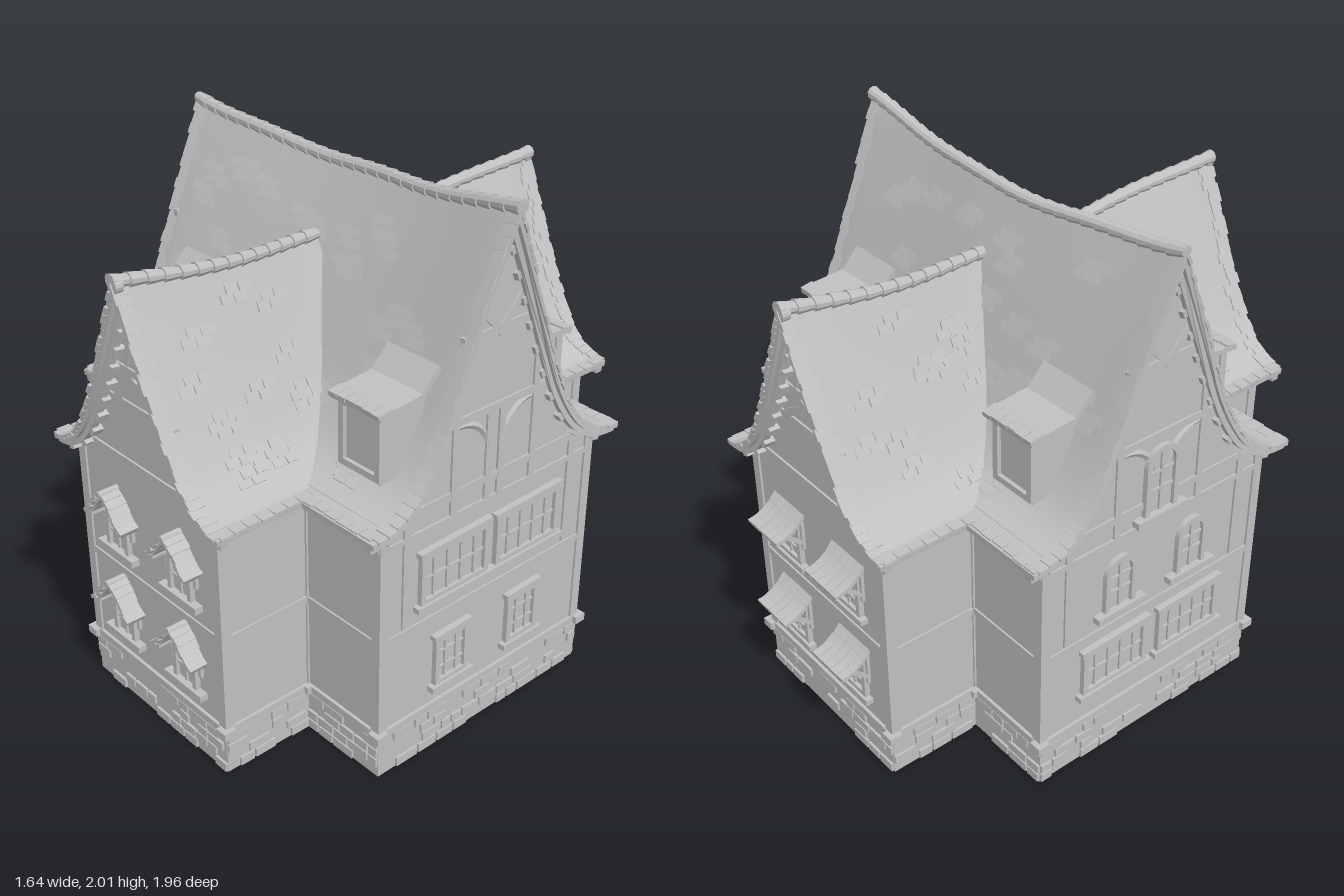
import * as THREE from 'three';
import { mergeGeometries, toCreasedNormals } from 'three/addons/utils/BufferGeometryUtils.js';

const grey = new THREE.MeshStandardMaterial({ color: 0xc0c0c0, side: THREE.DoubleSide });
grey.name = 'stone grey';

let seed = 7;
const rnd = () => (seed = (seed * 16807) % 2147483647) / 2147483647;
const vary = (a, b) => a + (b - a) * rnd();

// Box of given size and centre, optionally turned
function box(w, h, d, x, y, z, rz = 0, rx = 0) {
  return new THREE.BoxGeometry(w, h, d).rotateZ(rz).rotateX(rx).translate(x, y, z);
}
// Nearly flush timber between two points on a wall
function timber(x0, y0, x1, y1, w = 0.028) {
  return box(Math.hypot(x1 - x0, y1 - y0), w, 0.02, (x0 + x1) / 2, (y0 + y1) / 2, -0.002, Math.atan2(y1 - y0, x1 - x0));
}
// Merge pieces into one named mesh
function part(parent, name, geos, z = 0, warp = null) {
  let g = mergeGeometries(geos.map(a => (a.index ? a.toNonIndexed() : a)));
  if (warp) {
    const p = g.attributes.position, v = new THREE.Vector3();
    for (let i = 0; i < p.count; i++) {
      warp(v.fromBufferAttribute(p, i));
      p.setXYZ(i, v.x, v.y, v.z);
    }
  }
  g = toCreasedNormals(g, 0.5);
  const m = new THREE.Mesh(g, grey);
  m.name = name;
  m.position.z = z;
  parent.add(m);
}

// Half profile moved outward by t; the apex stays on the centre line
function offset(pts, t) {
  return pts.map((p, i) => {
    const a = pts[Math.max(i - 1, 0)], b = pts[Math.min(i + 1, pts.length - 1)];
    const dx = b.x - a.x, dy = b.y - a.y, l = Math.hypot(dx, dy);
    return i === 0 ? new THREE.Vector2(0, p.y + t * l / dx) : new THREE.Vector2(p.x - dy / l * t, p.y + dx / l * t);
  });
}
const flip = pts => pts.map(p => new THREE.Vector2(-p.x, p.y));
// Mirrored strip between two offsets of a half profile, extruded along z
function strip(pts, t0, t1, z0, z1, steps = 1) {
  const a = offset(pts, t0), b = offset(pts, t1);
  const s = new THREE.Shape([...a.slice().reverse(), ...flip(a).slice(1), ...flip(b).reverse(), ...b.slice(1)]);
  return new THREE.ExtrudeGeometry(s, { depth: z1 - z0, steps, bevelEnabled: false }).translate(0, 0, z0);
}
const spline = pts => new THREE.SplineCurve(pts.map(p => new THREE.Vector2(...p)));

// Roof with tiles, ridge caps, barge boards and gable walls; ridge runs along z
function roof(parent, name, prof, z0, z1, wallHalf, wallZ, warp) {
  const curve = spline(prof), pts = curve.getPoints(24), both = z0 < -0.5;
  part(parent, name + 'Shell', [strip(pts, 0, -0.022, z0, z1, 16)], 0, warp);

  // Each tile tips up a little at its lower edge
  const tiles = [];
  const tile = (side, u, z, w, len = 0.04, lift = -0.002) => {
    const p = curve.getPointAt(u), t = curve.getTangentAt(u);
    tiles.push(box(len, 0.012, w, side * (p.x - t.y * lift), p.y + t.x * lift, z, side * (Math.atan2(t.y, t.x) + 0.08)));
  };
  for (const side of [-1, 1]) {
    for (const e of both ? [-1, 1] : [1]) // ragged verge
      for (let u = 0.03; u < 0.98; u += 0.036) {
        const w = vary(0.04, 0.07);
        tile(side, u, e * (z1 - w / 2 + vary(0, 0.012)), w);
      }
    for (let z = z0 + 0.03; z < z1; z += 0.055) tile(side, 0.975, z, 0.05, vary(0.04, 0.055));
    for (let c = 0; c < (both ? 34 : 14); c++) { // scattered loose tiles
      const u = vary(0.1, 0.85), z = vary(z0 + 0.12, z1 - 0.2);
      for (let k = 0; k < 4; k++)
        tile(side, u + (k % 2) * 0.035, z + (k >> 1) * 0.055 + (k % 2) * 0.027, 0.05, 0.034, -rnd() * 0.004);
    }
  }
  part(parent, name + 'Tiles', tiles, 0, warp);

  const caps = [], top = prof[0][1];
  for (let z = z0; z < z1 - 0.02; z += 0.06)
    caps.push(new THREE.CylinderGeometry(0.02, 0.027, 0.066, 10).rotateX(-Math.PI / 2).translate(0, top, z + 0.032));
  part(parent, name + 'RidgeCaps', caps, 0, warp);

  const gable = [], inner = offset(pts, -0.03).filter(p => p.x < wallHalf);
  const barge = [];
  const outline = new THREE.Shape([new THREE.Vector2(wallHalf, 1), ...inner.slice().reverse(), ...flip(inner).slice(1), new THREE.Vector2(-wallHalf, 1)]);
  for (const e of both ? [-1, 1] : [1]) {
    gable.push(new THREE.ExtrudeGeometry(outline, { depth: 0.03, bevelEnabled: false }).translate(0, 0, e > 0 ? wallZ - 0.03 : -wallZ));
    const zb = e * (z1 - 0.03);
    barge.push(strip(pts, -0.018, -0.042, zb - 0.015, zb + 0.015));
    for (const side of [-1, 1])
      for (let u = 0.12; u < 0.95; u += 0.09) { // purlin ends under the verge
        const p = curve.getPointAt(u), t = curve.getTangentAt(u);
        barge.push(box(0.03, 0.022, z1 - wallZ - 0.02, side * (p.x + t.y * 0.046), p.y - t.x * 0.046, e * (wallZ + z1 - 0.02) / 2, side * Math.atan2(t.y, t.x)));
      }
  }
  part(parent, name + 'GableWall', gable, 0, warp);
  part(parent, name + 'BargeBoards', barge, 0, warp);
}

// Corners of the cross-shaped plan, grown outward by o, as (x, -z)
function plan(o) {
  const a = 0.755 + o, b = 0.51 + o, c = 0.39 + o, d = 0.88 + o;
  return [[c, -d], [c, -b], [a, -b], [a, b], [c, b], [c, d], [-c, d], [-c, b], [-a, b], [-a, -b], [-c, -b], [-c, -d]].map(p => new THREE.Vector2(...p));
}
// Hollow band following the plan
function band(o, y0, y1) {
  const s = new THREE.Shape(plan(o));
  s.holes.push(new THREE.Path(plan(-0.03)));
  return new THREE.ExtrudeGeometry(s, { depth: y1 - y0, bevelEnabled: false }).rotateX(-Math.PI / 2).translate(0, y0, 0);
}

// Framed window with bars, sill and lintel, reaching through the wall
function casement(x, y, w, h, cols, rows, lintel = true) {
  const g = [box(w, h, 0.006, x, y, 0.003)];
  for (const s of [-1, 1]) g.push(box(0.02, h, 0.056, x + s * (w / 2 - 0.01), y, -0.008), box(w, 0.02, 0.056, x, y + s * (h / 2 - 0.01), -0.008));
  for (let i = 1; i < cols; i++) g.push(box(0.01, h, 0.049, x - w / 2 + w * i / cols, y, -0.0105));
  for (let i = 1; i < rows; i++) g.push(box(w, 0.008, 0.047, x, y - h / 2 + h * i / rows, -0.0105));
  g.push(box(w + 0.04, 0.022, 0.04, x, y - h / 2 - 0.008, 0.01));
  if (lintel) g.push(box(w + 0.02, 0.02, 0.03, x, y + h / 2 + 0.006, 0.01, 0.02));
  return g;
}
function archPath(Type, w, h) {
  const p = new Type();
  p.moveTo(-w / 2, 0).lineTo(w / 2, 0).lineTo(w / 2, h - w / 2).absarc(0, h - w / 2, w / 2, 0, Math.PI).lineTo(-w / 2, 0);
  return p;
}
// Round-headed window standing on its sill at y
function archWindow(x, y, w, h) {
  const s = archPath(THREE.Shape, w, h);
  const pane = new THREE.ExtrudeGeometry(s.clone(), { depth: 0.006, bevelEnabled: false, curveSegments: 8 });
  s.holes.push(archPath(THREE.Path, w - 0.04, h - 0.02));
  const frame = new THREE.ExtrudeGeometry(s, { depth: 0.056, bevelEnabled: false, curveSegments: 8 });
  return [pane.translate(x, y, 0), frame.translate(x, y, -0.036), box(0.012, h - 0.01, 0.049, x, y + h / 2, -0.0105),
    box(w - 0.02, 0.01, 0.047, x, y + h * 0.35, -0.0105), box(w - 0.02, 0.01, 0.047, x, y + h * 0.62, -0.0105),
    box(w + 0.08, 0.025, 0.045, x, y - 0.01, 0.01)];
}
// Small peaked tiled hood with its apex at y
function hood(x, y) {
  const c = spline([[0, 0], [0.045, -0.04], [0.08, -0.09], [0.112, -0.115]]);
  const g = [strip(c.getPoints(8), 0, -0.014, 0, 0.065).translate(x, y, 0)];
  for (const s of [-1, 1]) {
    for (let i = 0; i < 5; i++) {
      const p = c.getPointAt(0.1 + i * 0.2), t = c.getTangentAt(0.1 + i * 0.2);
      g.push(box(0.036, 0.014, vary(0.07, 0.082), x + s * p.x, y + p.y + 0.004, 0.038, s * (Math.atan2(t.y, t.x) + 0.1)));
    }
    g.push(box(0.014, 0.08, 0.02, x + s * 0.083, y - 0.14, 0.004), box(0.014, 0.014, 0.07, x + s * 0.083, y - 0.112, 0.03));
  }
  g.push(new THREE.CylinderGeometry(0.012, 0.012, 0.08, 8).rotateX(Math.PI / 2).translate(x, y + 0.004, 0.04));
  return g;
}
// Tiled awning on curved brackets
function awning(x, y) {
  const g = [];
  for (let r = 0; r < 4; r++)
    for (let i = 0; i < 5; i++)
      g.push(box(0.035, vary(0.01, 0.016), 0.038, x + (i - 2) * 0.038, y - [0, 0.027, 0.046, 0.055][r], 0.01 + r * 0.03, 0, [0.85, 0.65, 0.4, 0.15][r]));
  for (const s of [-1, 1]) g.push(box(0.014, 0.014, 0.1, x + s * 0.08, y - 0.078, 0.042, 0, -0.7), box(0.016, 0.13, 0.016, x + s * 0.08, y - 0.07, 0.004));
  return g;
}
const arc = (r, x, y, turn) => new THREE.TorusGeometry(r, 0.013, 4, 8, Math.PI / 2).rotateZ(turn).scale(1, 1, 0.7).translate(x, y, 0);

export function createModel() {
  const root = new THREE.Group();
  root.name = 'timberHouse';
  const house = new THREE.Group();
  house.name = 'house';
  house.position.z = 0.02;
  root.add(house);
  const facing = (name, turn) => {
    const g = new THREE.Group();
    g.name = name;
    g.rotation.y = turn;
    house.add(g);
    return g;
  };

  // Walls, stone base and horizontal beams
  part(house, 'walls', [band(0, 0.15, 1.03)]);
  part(house, 'stoneBase', [band(0.002, 0, 0.165)]);
  part(house, 'beams', [band(0.012, 0.165, 0.195), band(0.007, 0.545, 0.572), band(0.007, 1.0, 1.03)]);
  const stones = [], posts = [], corners = plan(0.004);
  corners.forEach((a, i) => {
    const b = corners[(i + 1) % 12], len = a.distanceTo(b), dx = (b.x - a.x) / len, dy = (b.y - a.y) / len;
    for (let row = 0; row < 4; row++)
      for (let s = 0; s < len - 0.04;) { // stones show on both faces of the base
        const w = Math.min(vary(0.05, 0.11), len - s), c = s + w / 2;
        if (rnd() < 0.6) stones.push(box(w - 0.008, 0.034, 0.048, 0, 0, -0.0165).rotateY(Math.atan2(dy, dx)).translate(a.x + dx * c, 0.021 + row * 0.041, -(a.y + dy * c)));
        s += w;
      }
    posts.push(box(0.04, 0.82, 0.04, a.x - Math.sign(a.x) * 0.016, 0.59, -a.y + Math.sign(a.y) * 0.016));
    posts.push(box(0.05, 0.03, 0.05, a.x, 0.18, -a.y));
  });
  part(house, 'baseStones', stones);
  part(house, 'cornerPosts', posts);

  // Main roof, ridge along x, sagging in the middle
  const main = facing('mainRoof', Math.PI / 2);
  roof(main, 'mainRoof', [[0, 1.972], [0.1, 1.735], [0.2, 1.48], [0.28, 1.28], [0.36, 1.14], [0.43, 1.07], [0.51, 1.03], [0.595, 1.02]], -0.81, 0.81, 0.51, 0.755, v => {
    const t = Math.max(0, (v.y - 1.02) / 0.955), s = v.z / 0.82;
    v.y += t * (0.07 * (s * s - 1 + 0.06 * Math.sin(s * 9)) + 0.006 * s);
    v.x += t * (0.025 + 0.02 * Math.cos(s * 3));
    if (Math.abs(v.z) > 0.765) v.z *= 1 - 0.025 * Math.sin(Math.PI * Math.min(t, 1));
  });

  for (const end of [1, -1]) {
    const front = end > 0;
    // Wing roof and gable timbers
    const wing = facing(front ? 'frontWing' : 'backWing', front ? 0 : Math.PI);
    roof(wing, 'wingRoof', [[0, 1.742], [0.09, 1.525], [0.18, 1.325], [0.26, 1.17], [0.32, 1.09], [0.37, 1.05], [0.42, 1.027], [0.47, 1.02]], 0.1, 0.94, 0.39, 0.88, v => {
      const t = Math.max(0, (v.y - 1.02) / 0.72), s = v.z / 0.94;
      v.y += t * 0.065 * (s * s - 1);
      v.x += t * 0.02 * Math.sin(s * 6 - 2);
    });
    const frame = [timber(-0.13, 1.4, 0.13, 1.4), timber(-0.2, 1.27, 0.2, 1.27), timber(-0.3, 1.04, 0.3, 1.04)];
    for (const s of [-1, 1]) frame.push(timber(s * 0.13, 1.28, s * -0.08, 1.4), timber(s * 0.06, 1.42, s * 0.02, 1.52));
    part(wing, 'gableTimbers', frame, 0.88);
    part(wing, 'finial', [new THREE.CylinderGeometry(0.026, 0.026, 0.03, 12).rotateX(Math.PI / 2).translate(-0.008, 1.728, 0.93), box(0.022, 0.08, 0.022, -0.008, 1.68, 0.92)]);

    // Wing windows: peaked hoods in front, awnings behind
    const win = [];
    for (const x of [-0.18, 0.185])
      for (const y of [0.26, 0.63]) {
        if (front) win.push(...archWindow(x, y + 0.02, 0.13, 0.18), ...hood(x, y + 0.265));
        else win.push(...casement(x, y + 0.1, 0.15, 0.17, 2, 3, false), ...awning(x, y + 0.225));
      }
    part(wing, 'wingWindows', win, 0.88);

    // Little windows beside the wing
    part(wing, 'sideWindows', [...casement(-0.645, 0.825, 0.12, 0.12, 2, 2, false), ...casement(-0.455, 0.46, 0.12, 0.12, 2, 2, false)], 0.51);

    // Dormers with a shallow lid that sweeps up into the main slope
    for (const cx of front ? [-0.515, 0.582] : [0.525, -0.55]) {
      const body = [box(0.18, 0.26, 0.26, cx, 1.24, 0.305)];
      for (const s of [-1, 1]) body.push(box(0.024, 0.24, 0.03, cx + s * 0.085, 1.245, 0.435), box(0.194, 0.024, 0.03, cx, 1.245 + s * 0.11, 0.435));
      part(wing, 'dormerBody', body);
      const lid = [box(0.24, 0.02, 0.19, cx, 1.381, 0.375, 0, 0.08), box(0.235, 0.02, 0.12, cx, 1.425, 0.248, 0, 0.85)];
      for (let i = 0; i < 6; i++) lid.push(box(vary(0.036, 0.04), 0.016, vary(0.045, 0.06), cx + (i - 2.5) * 0.04, 1.382, 0.445, 0, vary(0.1, 0.2)));
      part(wing, 'dormerRoof', lid);
    }

    // Tall gable ends
    const gable = facing(front ? 'rightGable' : 'leftGable', end * Math.PI / 2);
    const g = [timber(-0.27, 1.28, 0.27, 1.28), timber(-0.17, 1.56, 0.17, 1.56), timber(-0.5, 0.93, 0.5, 0.93, 0.02)];
    for (const s of [-1, 1]) {
      g.push(timber(s * 0.19, 0.92, s * 0.19, 1.46), timber(s * 0.1, 1.66, s * -0.01, 1.54), timber(s * 0.4, 0.58, s * 0.4, 1.0));
      g.push(arc(0.13, s * 0.38, 0.93, s > 0 ? 0 : Math.PI / 2), arc(0.14, s * 0.17, 1.12, s > 0 ? Math.PI / 2 : 0));
      if (front) g.push(timber(s * 0.03, 0.92, s * 0.03, 1.27));
    }
    part(gable, 'gableTimbers', g, 0.755);
    const sideWin = [];
    for (const s of [-1, 1]) {
      if (front) sideWin.push(...casement(s * 0.18, 0.745, 0.32, 0.2, 5, 2), ...casement(s * 0.18, 0.37, 0.16, 0.2, 3, 3));
      else sideWin.push(...archWindow(s * 0.17, 0.64, 0.14, 0.22), ...casement(s * 0.18, 0.41, 0.3, 0.19, 5, 2));
    }
    if (!front) sideWin.push(...archWindow(0, 0.97, 0.15, 0.27));
    part(gable, 'gableWindows', sideWin, 0.755);
  }
  return root;
}
